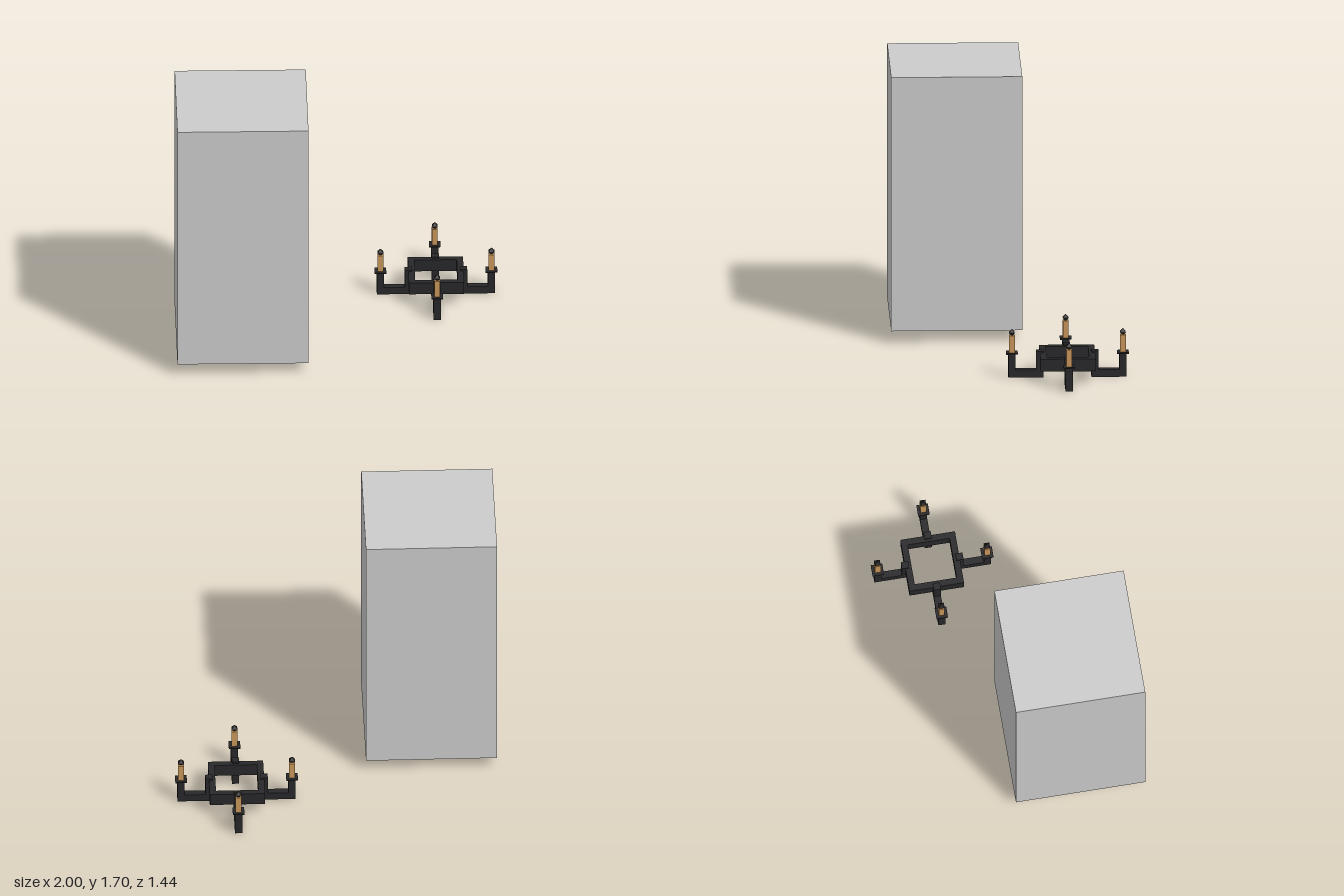
import * as THREE from 'three';

const grey = new THREE.MeshStandardMaterial({ color: 0xcccccc });
const iron = new THREE.MeshStandardMaterial({ color: 0x28282a, flatShading: true });
const wax = new THREE.MeshStandardMaterial({ color: 0xc8965a, flatShading: true });

// Box spanning two opposite corners
function box(name, material, [x0, y0, z0], [x1, y1, z1]) {
  const mesh = new THREE.Mesh(new THREE.BoxGeometry(x1 - x0, y1 - y0, z1 - z0), material);
  mesh.name = name;
  mesh.position.set((x0 + x1) / 2, (y0 + y1) / 2, (z0 + z1) / 2);
  return mesh;
}

// Square ring with a square opening, lying flat
function createRing() {
  const square = (Type, h) => new Type([[-h, -h], [h, -h], [h, h], [-h, h]].map(([x, y]) => new THREE.Vector2(x, y)));
  const shape = square(THREE.Shape, 0.171);
  shape.holes.push(square(THREE.Path, 0.131));
  const geometry = new THREE.ExtrudeGeometry(shape, { depth: 0.079, bevelEnabled: false });
  geometry.rotateX(-Math.PI / 2);
  const ring = new THREE.Mesh(geometry, iron);
  ring.name = 'ring';
  ring.position.y = 0.077;
  return ring;
}

// One arm along +x, with its drip plate, candle and flame
function createArm() {
  const arm = new THREE.Group();
  const w = 0.0225;
  const r = 0.343;
  arm.add(
    box('innerPost', iron, [0.148, 0, -w], [0.193, 0.167, w]),
    box('crossbar', iron, [0.193, 0, -w], [r - w, 0.048, w]),
    box('outerPost', iron, [r - w, 0, -w], [r + w, 0.15, w]),
    box('dripPlate', iron, [r - 0.036, 0.15, -0.036], [r + 0.036, 0.157, 0.036]),
    box('candle', wax, [r - 0.018, 0.157, -0.018], [r + 0.018, 0.266, 0.018]),
  );
  // four-sided flame: short lower taper, longer upper taper
  const profile = [[0, 0.264], [0.008, 0.266], [0.025, 0.283], [0, 0.307]].map(([x, y]) => new THREE.Vector2(x, y));
  const flame = new THREE.Mesh(new THREE.LatheGeometry(profile, 4, Math.PI / 4), iron);
  flame.name = 'flame';
  flame.position.x = r;
  arm.add(flame);
  return arm;
}

export function createModel() {
  const model = new THREE.Group();
  model.name = 'chandelierAndBlock';

  // Tall plain block
  model.add(box('block', grey, [-1, 0.077, -0.09], [-0.19, 1.7, 0.72]));

  // Four-armed chandelier
  const chandelier = new THREE.Group();
  chandelier.name = 'chandelier';
  chandelier.position.set(0.62, 0, -0.343);
  chandelier.add(createRing());
  ['left', 'back', 'right', 'front'].forEach((side, i) => {
    const arm = createArm();
    arm.name = side + 'Arm';
    arm.rotation.y = i * Math.PI / 2;
    chandelier.add(arm);
  });
  model.add(chandelier);
  return model;
}
